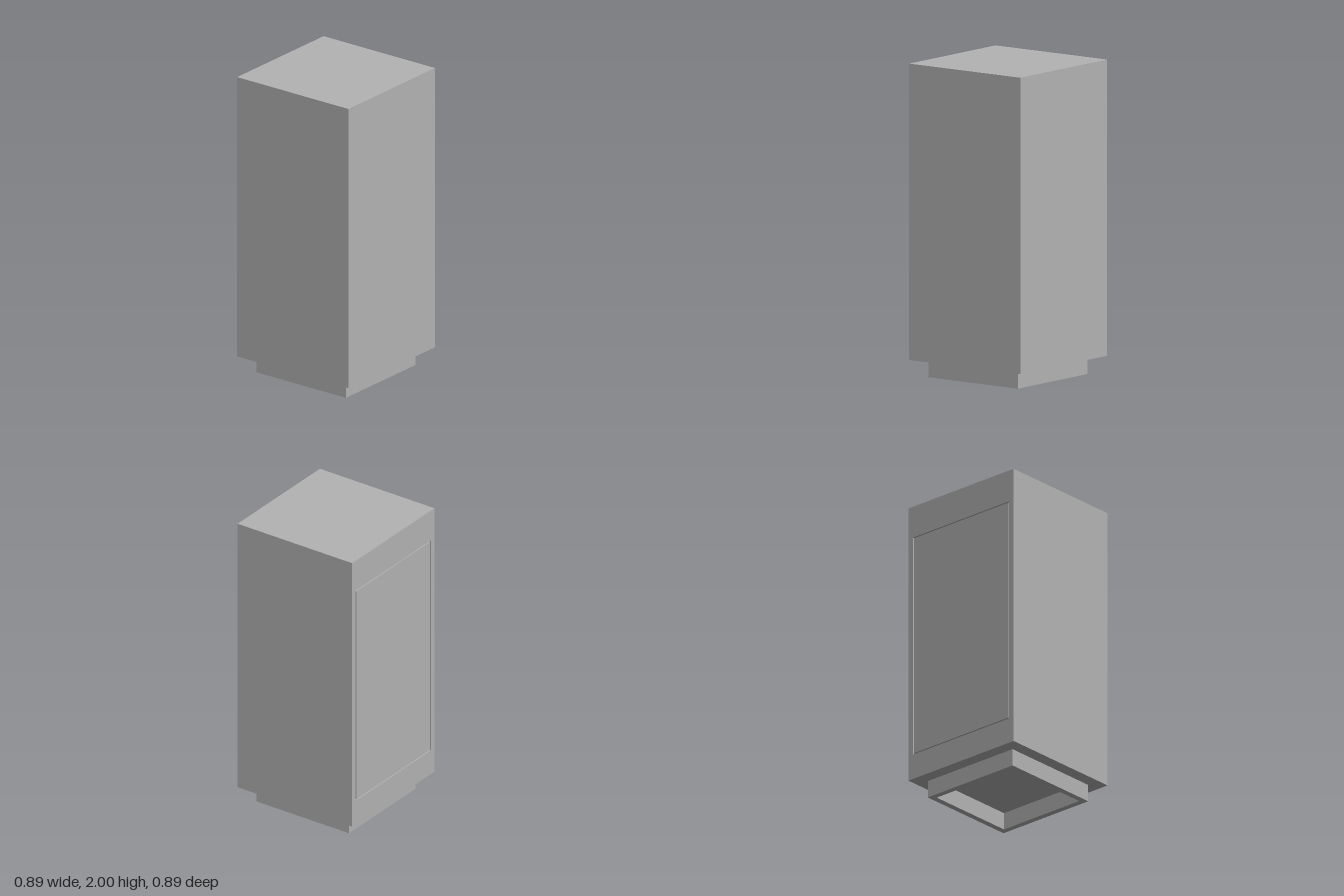
import * as THREE from 'three';

const HALF = 0.443;                 // half width of the cabinet
const BASE = 0.113, TOP = 2;        // cabinet bottom and top
const DOOR = { w: 0.81, h: 1.504, y: 1.034 };
const GAP = 0.007, DEPTH = 0.012;   // seam around the door

// Box without its rear (-z) face
function openBox(w, h, d) {
  const g = new THREE.BoxGeometry(w, h, d);
  g.setIndex(Array.from(g.index.array).slice(0, 30));
  g.clearGroups();
  return g;
}

// Centred rectangle, used for outlines and holes
function rect(path, w, h, y = 0) {
  path.moveTo(-w / 2, y - h / 2);
  path.lineTo(w / 2, y - h / 2);
  path.lineTo(w / 2, y + h / 2);
  path.lineTo(-w / 2, y + h / 2);
  path.closePath();
  return path;
}

export function createModel() {
  const model = new THREE.Group();
  model.name = 'cabinet';
  const grey = new THREE.MeshStandardMaterial({ color: 0xb3b3b3, side: THREE.DoubleSide });
  grey.name = 'grey';

  const add = (name, geometry, x = 0, y = 0, z = 0) => {
    const mesh = new THREE.Mesh(geometry, grey);
    mesh.name = name;
    mesh.position.set(x, y, z);
    model.add(mesh);
    return mesh;
  };

  // Cabinet shell: front, sides, top and underside
  const height = TOP - BASE, midY = (TOP + BASE) / 2;
  add('cabinetShell', openBox(HALF * 2, height, HALF * 2), 0, midY, 0);

  // Rear face with the door opening
  const rear = rect(new THREE.Shape(), HALF * 2, height, midY);
  rear.holes.push(rect(new THREE.Path(), DOOR.w, DOOR.h, DOOR.y));
  add('rearFrame', new THREE.ShapeGeometry(rear), 0, 0, -HALF).rotation.y = Math.PI;

  // Shallow recess and the flush door panel inside it, leaving a narrow seam
  const doorZ = -HALF + DEPTH / 2;
  add('doorRecess', openBox(DOOR.w, DOOR.h, DEPTH), 0, DOOR.y, doorZ);
  add('doorPanel', new THREE.BoxGeometry(DOOR.w - GAP * 2, DOOR.h - GAP * 2, DEPTH), 0, DOOR.y, doorZ);

  // Hollow square plinth
  const ring = rect(new THREE.Shape(), 0.714, 0.714);
  ring.holes.push(rect(new THREE.Path(), 0.634, 0.634));
  const plinth = new THREE.ExtrudeGeometry(ring, { depth: BASE, bevelEnabled: false });
  plinth.rotateX(-Math.PI / 2);
  add('plinth', plinth);

  return model;
}
